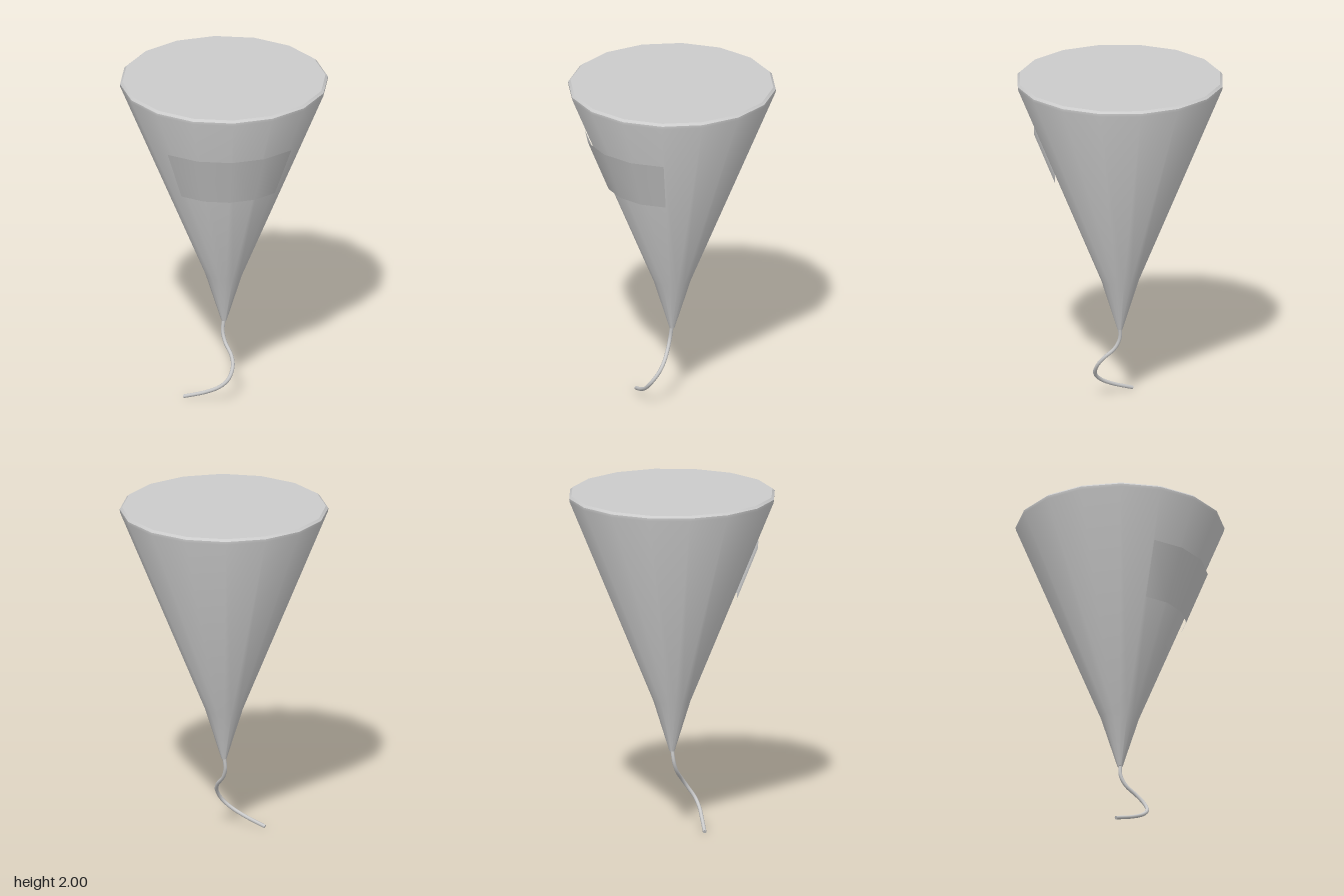
import * as THREE from 'three';
import { toCreasedNormals } from 'three/addons/utils/BufferGeometryUtils.js';

const v2 = (x, y) => new THREE.Vector2(x, y);
const material = (side = THREE.FrontSide) => new THREE.MeshStandardMaterial({ color: 0xcccccc, side });

function addMesh(group, name, geometry, mat = material()) {
  const mesh = new THREE.Mesh(geometry, mat);
  mesh.name = name;
  group.add(mesh);
}

export function createModel() {
  const group = new THREE.Group();
  group.name = 'coneWithString';

  // Sixteen-sided cone, closed at the top with a small bevelled rim
  const profile = [
    v2(0, 0.455), v2(0.015, 0.455), v2(0.11, 0.76), v2(0.605, 1.97),
    v2(0.606, 1.987), v2(0.592, 2), v2(0, 2),
  ];
  addMesh(group, 'coneBody', toCreasedNormals(new THREE.LatheGeometry(profile, 16), 0.6));

  // Curved label, a quarter turn wide, lying just off the front of the cone
  const label = new THREE.LatheGeometry(
    [v2(0.385, 1.38), v2(0.51, 1.69)], 4, -Math.PI / 4, Math.PI / 2);
  addMesh(group, 'label', label, material(THREE.DoubleSide));

  // Curling string hanging from the tip, with closed ends
  const path = new THREE.CatmullRomCurve3([
    [0, 0.47, 0], [-0.008, 0.39, 0.008], [0.004, 0.33, 0.035], [0.035, 0.27, 0.09],
    [0.04, 0.22, 0.13], [0.012, 0.155, 0.166], [-0.04, 0.105, 0.163],
    [-0.12, 0.06, 0.13], [-0.24, 0.012, 0.072],
  ].map((p) => new THREE.Vector3(...p)));
  const radius = 0.011;
  addMesh(group, 'string', new THREE.TubeGeometry(path, 40, radius, 8));
  for (const t of [0, 1]) {
    const cap = new THREE.CircleGeometry(radius, 8);
    const outward = path.getTangentAt(t).multiplyScalar(t ? 1 : -1);
    cap.applyQuaternion(new THREE.Quaternion().setFromUnitVectors(new THREE.Vector3(0, 0, 1), outward));
    cap.translate(...path.getPointAt(t).toArray());
    addMesh(group, 'stringEnd', cap);
  }

  return group;
}
